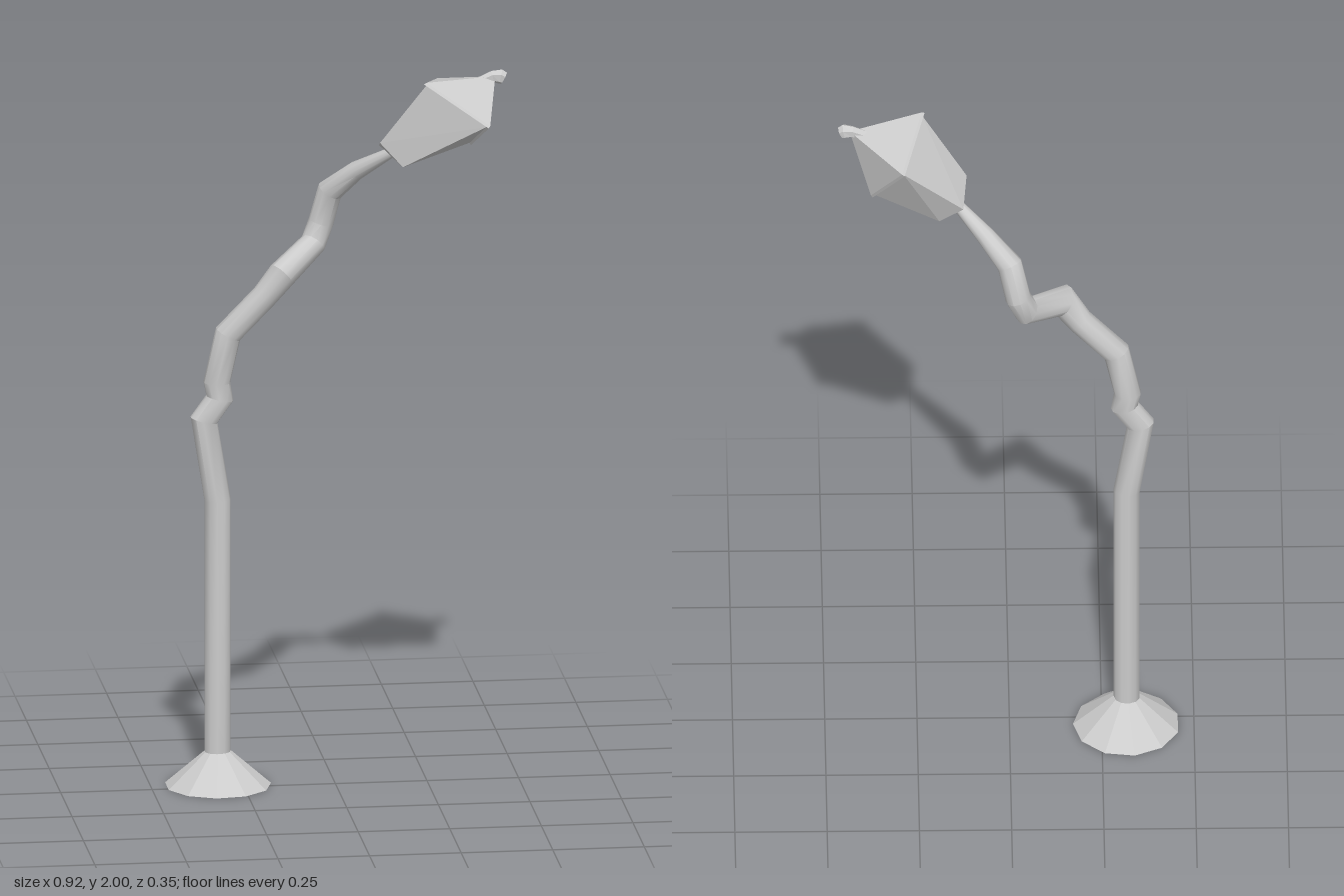
import * as THREE from 'three';
import { toCreasedNormals } from 'three/addons/utils/BufferGeometryUtils.js';

const V = (x, y, z) => new THREE.Vector3(x, y, z);
const flat = new THREE.MeshStandardMaterial({ color: 0xcccccc, flatShading: true, side: THREE.DoubleSide });
const smooth = new THREE.MeshStandardMaterial({ color: 0xcccccc, side: THREE.DoubleSide });

// Skin a list of equal-sized rings and close both ends
function loft(rings) {
  const n = rings[0].length, pos = [], index = [];
  rings.forEach(r => r.forEach(p => pos.push(p.x, p.y, p.z)));
  for (let i = 0; i < rings.length - 1; i++) {
    for (let j = 0; j < n; j++) {
      const a = i * n + j, b = i * n + (j + 1) % n;
      index.push(a, b, b + n, a, b + n, a + n);
    }
  }
  const top = (rings.length - 1) * n;
  for (let j = 1; j < n - 1; j++) {
    index.push(0, j + 1, j);
    index.push(top, top + j, top + j + 1);
  }
  const g = new THREE.BufferGeometry();
  g.setAttribute('position', new THREE.Float32BufferAttribute(pos, 3));
  g.setIndex(index);
  g.computeVertexNormals();
  return g;
}

// Rings along a bent path of [x, y, z, radius], mitred at each bend
function pathRings(path, sides) {
  const pts = path.map(p => V(p[0], p[1], p[2]));
  const ref = V(1, 0, 0);
  return pts.map((p, i) => {
    const before = pts[i].clone().sub(pts[Math.max(i - 1, 0)]).normalize();
    const after = pts[Math.min(i + 1, pts.length - 1)].clone().sub(p).normalize();
    const t = before.clone().add(after).normalize();
    ref.addScaledVector(t, -ref.dot(t)).normalize();
    const side = t.clone().cross(ref);
    const bend = after.clone().sub(before);
    bend.addScaledVector(t, -bend.dot(t)).normalize();
    const mid = i > 0 && i < pts.length - 1;
    const stretch = mid ? Math.min(1 / Math.max(t.dot(after), 0.1), 1.35) - 1 : 0;
    return Array.from({ length: sides }, (_, j) => {
      const a = j / sides * Math.PI * 2;
      const o = ref.clone().multiplyScalar(Math.cos(a)).addScaledVector(side, Math.sin(a)).multiplyScalar(path[i][3]);
      o.addScaledVector(bend, o.dot(bend) * stretch);
      return o.add(p);
    });
  });
}

const centre = ring => ring.reduce((s, p) => s.add(p), V(0, 0, 0)).divideScalar(ring.length);
const scaleRing = (ring, s, to = centre(ring)) => ring.map(p => to.clone().lerp(p, s));

export function createModel() {
  const model = new THREE.Group();
  const add = (name, geometry, material = flat) => {
    const m = new THREE.Mesh(geometry, material);
    m.name = name;
    model.add(m);
    return m;
  };

  // Flared foot
  const foot = add('foot', new THREE.CylinderGeometry(0.036, 0.145, 0.095, 11));
  foot.geometry.rotateY(Math.PI / 2);
  foot.position.set(-0.317, 0.0475, -0.03);

  // Straight post running into the crumpled, crooked arm
  const path = [
    [-0.318, 0.08, -0.03, 0.036],
    [-0.318, 0.80, -0.03, 0.036],
    [-0.355, 1.025, -0.03, 0.035],
    [-0.312, 1.085, -0.03, 0.035],
    [-0.32, 1.13, -0.03, 0.036],
    [-0.29, 1.265, -0.025, 0.036],
    [-0.19, 1.37, -0.02, 0.036],
    [-0.145, 1.43, -0.008, 0.04],
    [-0.045, 1.485, -0.125, 0.035],
    [-0.022, 1.54, -0.138, 0.035],
    [0.0, 1.635, -0.115, 0.034],
    [0.065, 1.70, -0.07, 0.026],
    [0.155, 1.77, 0.005, 0.014]
  ];
  add('postAndArm', toCreasedNormals(loft(pathRings(path, 11)), 0.65), smooth);

  // Lantern body: a skewed four-sided box widening up to the eaves
  const bottom = [V(0.125, 1.775, -0.05), V(0.115, 1.81, 0.056), V(0.175, 1.745, 0.076), V(0.19, 1.72, -0.03)];
  const eaves = [V(0.285, 1.937, -0.112), V(0.228, 1.985, 0.108), V(0.397, 1.873, 0.174), V(0.37, 1.78, 0)];
  add('lanternBody', loft([bottom, scaleRing(eaves, 0.93)]));

  // Roof: thin eave lip, then a pyramid up to the cap
  const axis = V(0.77, 0.62, -0.1).normalize();
  const lip = scaleRing(eaves, 0.98).map(p => p.addScaledVector(axis, 0.008));
  const apex = V(0.425, 1.975, 0.034);
  add('lanternRoof', loft([eaves, lip, scaleRing(lip, 0.07).map(p => p.sub(centre(lip)).add(apex))]));

  // Small finial bent over the roof peak
  add('finial', loft(pathRings([
    [0.39, 1.966, 0.034, 0.014],
    [0.425, 1.98, 0.034, 0.016],
    [0.446, 1.98, 0.036, 0.02],
    [0.455, 1.975, 0.037, 0.018]
  ], 6)));

  return model;
}
